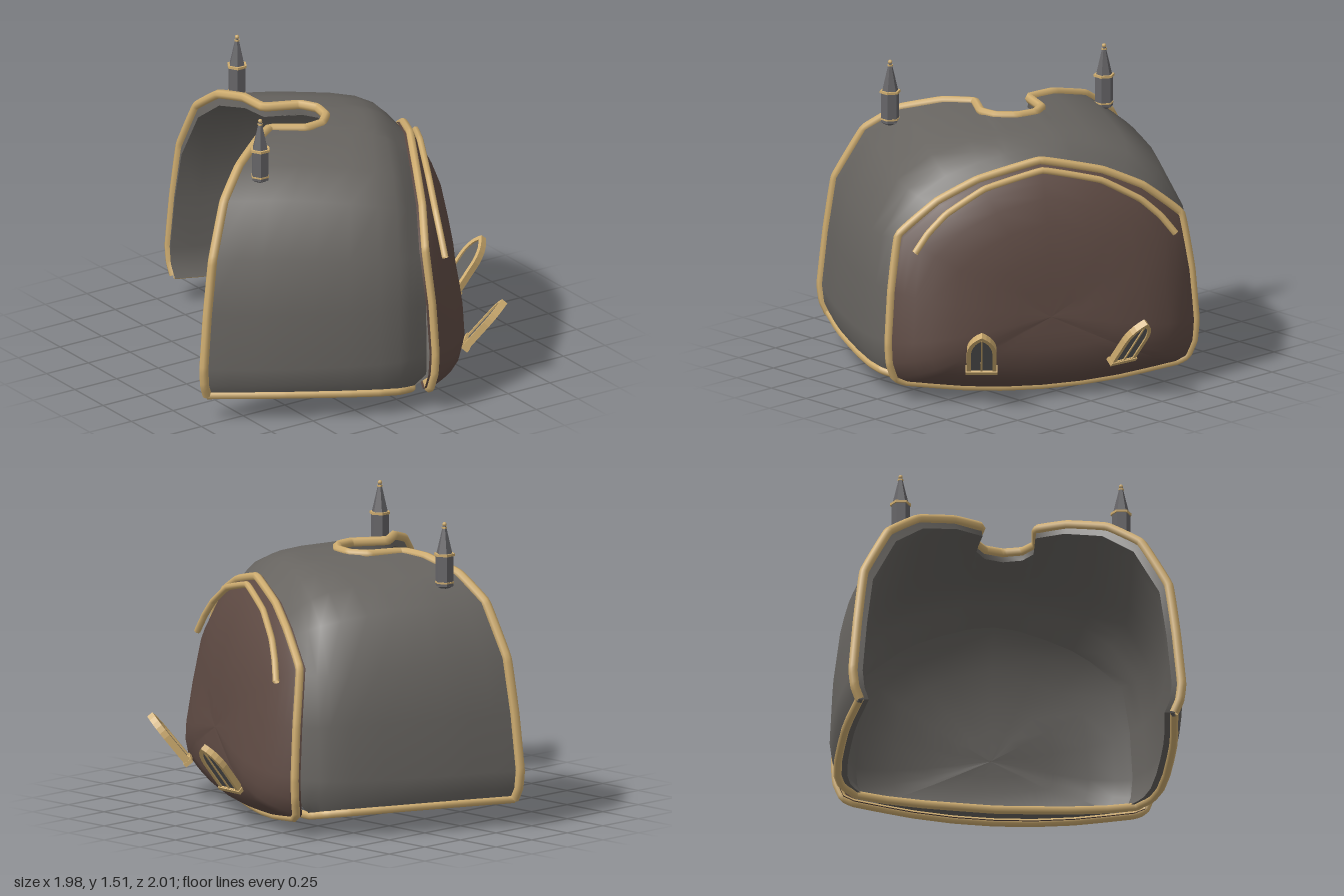
import * as THREE from 'three';

const V = (x, y, z) => new THREE.Vector3(x, y, z);
const mat = (name, color, double) => {
  const m = new THREE.MeshStandardMaterial({ color });
  m.name = name;
  if (double) m.side = THREE.DoubleSide;
  return m;
};

// Smooth surface through rows of points
function loft(rows) {
  const n = rows[0].length, pos = [], idx = [];
  rows.forEach(r => r.forEach(p => pos.push(p.x, p.y, p.z)));
  for (let i = 0; i < rows.length - 1; i++)
    for (let j = 0; j < n - 1; j++) {
      const a = i * n + j, b = a + 1, c = a + n, d = c + 1;
      idx.push(a, b, c, b, d, c);
    }
  const g = new THREE.BufferGeometry();
  g.setAttribute('position', new THREE.Float32BufferAttribute(pos, 3));
  g.setIndex(idx);
  g.computeVertexNormals();
  return g;
}

// Extra rows along smooth curves through the given rows
function refine(rows, steps) {
  const columns = rows[0].map((_, j) => new THREE.CatmullRomCurve3(rows.map(r => r[j])).getPoints(steps));
  return columns[0].map((_, i) => columns.map(c => c[i]));
}

// Half a section (right side to the middle) completed on the left side
const mirror = half => [...half, ...half.slice(0, -1).reverse().map(p => V(-p.x, p.y, p.z))];
const points = list => list.map(p => V(...p));

export function createModel() {
  const root = new THREE.Group();
  root.name = 'shoulderArmor';
  const grey = mat('dark grey shell', 0x676460, true);
  const brown = mat('brown panel', 0x5e4a43, true);
  const gold = mat('gold trim', 0xcfad70, true);
  const slate = mat('slate tower', 0x666568);
  const glass = mat('window grey', 0x5e5e5d);

  const add = (parent, name, geo, m) => {
    const mesh = new THREE.Mesh(geo, m);
    mesh.name = name;
    parent.add(mesh);
    return mesh;
  };

  // The body is modelled facing +z, then turned
  const body = new THREE.Group();
  body.name = 'body';
  body.rotation.y = 1.08;
  body.position.set(-0.0235, 0, 0.044);
  root.add(body);

  const tube = (name, pts, r = 0.021, closed = false) => add(body, name, new THREE.TubeGeometry(
    new THREE.CatmullRomCurve3(pts, closed, 'catmullrom', 0.12), pts.length * 8, r, 7, closed), gold);

  // Shell cross-sections: rear opening with neck notch, middle, front shoulder, front end
  const edge = points([[.785, .13, -.61], [.81, .19, -.625], [.82, .28, -.63], [.795, .56, -.61], [.76, .84, -.58],
    [.63, 1.1, -.51], [.475, 1.22, -.42], [.285, 1.275, -.31], [.14, 1.28, -.23], [.155, 1.28, -.05],
    [.1, 1.28, .035], [0, 1.28, .065]]);
  const midXY = [[.82, .13], [.85, .19], [.86, .28], [.84, .56], [.80, .84],
    [.66, 1.1], [.485, 1.215], [.3, 1.26], [.17, 1.27], [.15, 1.27], [.1, 1.27], [0, 1.27]];
  const shoulderXY = [[.785, .11], [.815, .18], [.828, .28], [.815, .55], [.785, .8],
    [.655, 1.04], [.49, 1.15], [.3, 1.21], [.18, 1.23], [.15, 1.235], [.1, 1.24], [0, 1.245]];
  const frontXY = [[.70, .09], [.725, .17], [.735, .28], [.72, .54], [.68, .81],
    [.51, .95], [.41, 1.01], [.28, 1.06], [.18, 1.09], [.15, 1.1], [.1, 1.11], [0, 1.12]];
  const mid = midXY.map(([x, y], i) => V(x, y, edge[i].z * .55 + .15));
  const shoulder = shoulderXY.map(([x, y]) => V(x, y, .33));
  const front = frontXY.map(([x, y], i) => V(x, y, i ? .49 : .42));
  const rows = refine([edge, mid, shoulder, front], 10);
  const inner = rows.map(r => r.map(p =>
    V(p.x * .94, p.y - .05 * THREE.MathUtils.smoothstep(p.y, .3, 1.1), p.z)));
  add(body, 'shell', loft(rows.map(mirror)), grey);
  add(body, 'shellLining', loft(inner.map(mirror)), grey);
  add(body, 'shellRim', loft([mirror(inner[0]), mirror(edge)]), grey);
  for (const s of [-1, 1]) {
    const bottom = set => set.map(r => V(r[0].x * s, r[0].y, r[0].z));
    add(body, 'shellBottom', loft([bottom(inner), bottom(rows)]), grey);
  }

  // Domed front panel: rings shrinking towards the middle of its outline
  const arch = mirror(points([[.70, .083, .505], [.752, .11, .51], [.782, .19, .525], [.79, .3, .53], [.772, .56, .515],
    [.727, .84, .485], [.53, 1, .49], [.32, 1.095, .485], [0, 1.168, .485]]));
  const sill = points([[-.55, .06, .51], [-.4, .038, .512], [-.2, .021, .515], [0, .015, .515],
    [.2, .021, .515], [.4, .038, .512], [.55, .06, .51]]);
  const outline = [...arch, ...sill];
  const ring = (r, off) => [...outline, outline[0]].map(p => {
    const y = .42 + (p.y - .42) * r;
    const power = 4 + 2 * Math.max(0, 1 - p.y / .4);
    const bulge = .21 * (1 - r ** power) * (1 - .3 * Math.max(0, y - .3));
    return V(p.x * r, y, .5 + (p.z - .5) * r + bulge + off);
  });
  const dome = [.93, .87, .78, .62, .4, .2, 0.001];
  add(body, 'frontPanel', loft([ring(1, -.03), ...[1, .97, ...dome].map(r => ring(r, 0))]), brown);
  add(body, 'frontPanelLining', loft(dome.map(r => ring(r, -.03))), grey);

  // Lip turned inwards under the panel
  const lip = mirror([front[0], V(.55, .075, .435), V(.35, .062, .44), V(0, .05, .44)]);
  const innerSill = ring(.93, -.03).slice(-sill.length - 1, -1).reverse();
  add(body, 'bottomLip', loft([lip, innerSill]), grey);

  // Gold trim
  tube('openingTrim', mirror(edge), .024);
  tube('panelTrim', outline, .021, true);
  tube('panelArchTrim', mirror(points([[.67, .77, .59], [.6, .86, .575], [.5, .95, .56],
    [.3, 1.06, .545], [0, 1.13, .535]])), .017);
  tube('bottomTrim', mirror([...rows.slice(0, -1).map(r => r[0]), ...lip.slice(0, 4)]));

  // Hexagonal spires on the crown
  for (const s of [-1, 1]) {
    const spire = new THREE.Group();
    spire.name = 'spire';
    spire.position.set(s * .55, 1.18, -.32);
    spire.rotation.y = Math.PI / 2 - 1.08;
    body.add(spire);
    const part = (name, r1, r2, h, y, m) => {
      const g = new THREE.CylinderGeometry(r1, r2, h, 6).toNonIndexed();
      g.computeVertexNormals();
      add(spire, name, g, m).position.y = y;
    };
    part('spireBody', .046, .046, .155, .08, slate);
    part('spireFoot', .046, .025, .012, -.004, slate);
    part('spireLowerBand', .049, .049, .008, .02, gold);
    part('spireUpperBand', .053, .053, .012, .16, gold);
    part('spireRoof', .008, .041, .14, .235, slate);
    part('spireCollar', .014, .014, .008, .295, gold);
    add(spire, 'spireBall', new THREE.SphereGeometry(.011, 8, 6), gold).position.y = .312;
  }

  // Pointed windows leaning out from the panel
  const lancet = (shape, w, y0, y1, tip) => {
    shape.moveTo(-w, y0);
    shape.lineTo(w, y0);
    shape.lineTo(w, y1);
    shape.quadraticCurveTo(w * .9, (y1 + tip) / 2 + .02, 0, tip);
    shape.quadraticCurveTo(-w * .9, (y1 + tip) / 2 + .02, -w, y1);
    return shape;
  };
  const frameShape = lancet(new THREE.Shape(), .074, 0, .18, .31);
  frameShape.holes.push(lancet(new THREE.Path(), .053, .022, .175, .283));
  const frameGeo = new THREE.ExtrudeGeometry(frameShape, { depth: .034, bevelEnabled: false, curveSegments: 5 });
  const paneGeo = new THREE.ExtrudeGeometry(lancet(new THREE.Shape(), .057, .015, .178, .287),
    { depth: .018, bevelEnabled: false, curveSegments: 5 });
  for (const [x, z, yaw] of [[.778, .07, 1.49], [.445, .708, .82]]) {
    const win = new THREE.Group();
    win.name = 'window';
    win.rotation.set(.68, yaw, 0, 'YXZ');
    win.position.set(x, .175, z);
    root.add(win);
    add(win, 'windowFrame', frameGeo, gold).position.z = -.017;
    add(win, 'windowPane', paneGeo, glass).position.z = -.008;
    add(win, 'windowMullion', new THREE.BoxGeometry(.009, .26, .008), gold).position.set(0, .15, .012);
    add(win, 'windowSill', new THREE.BoxGeometry(.16, .02, .045), gold).position.set(0, .01, 0);
  }
  return root;
}
